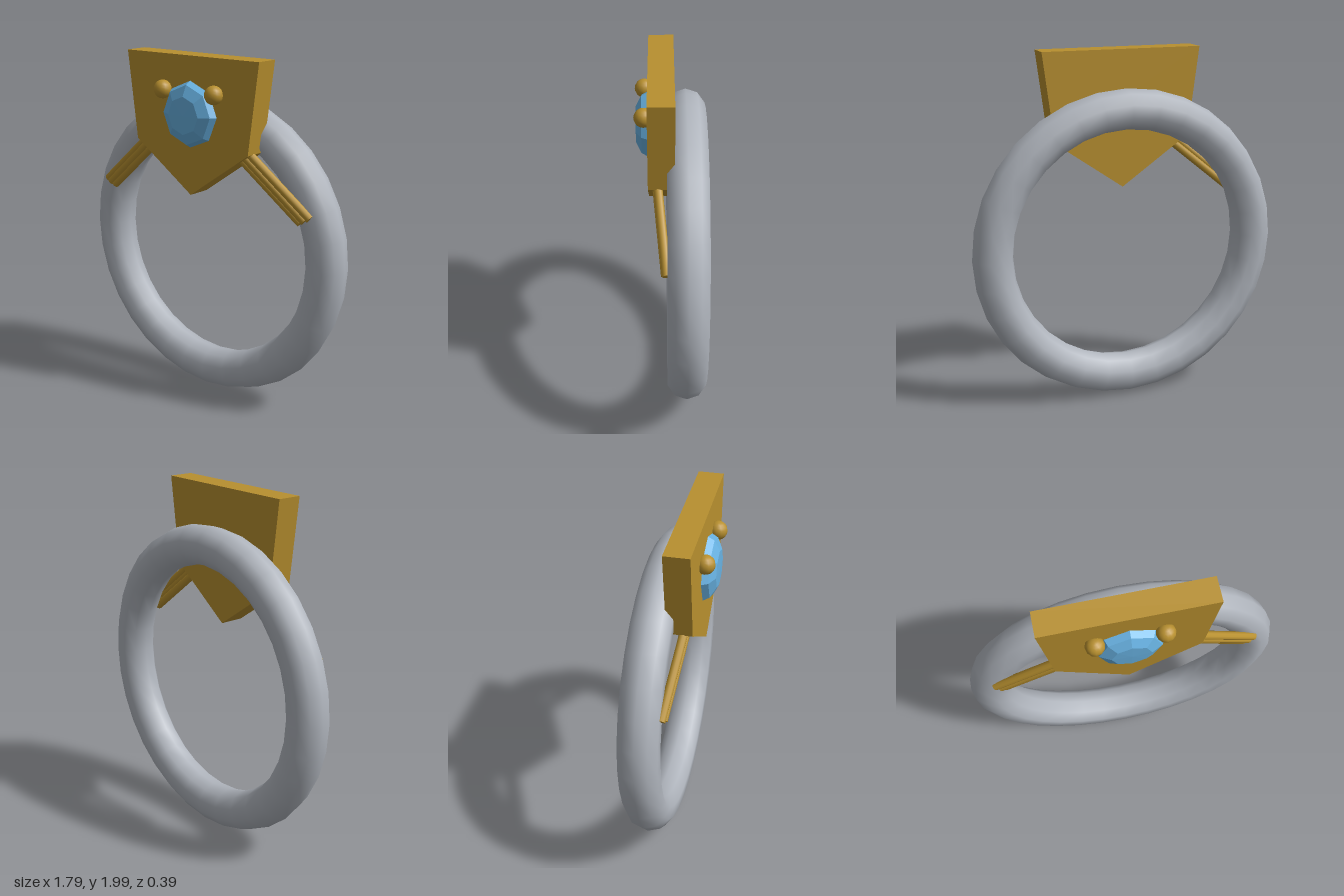
import * as THREE from 'three';

const mat = (name, color, opts = {}) => {
  const m = new THREE.MeshStandardMaterial({ color, ...opts });
  m.name = name;
  return m;
};

export function createModel() {
  const group = new THREE.Group();
  const silver = mat('silver', 0xb0b5bd);
  const gold = mat('gold', 0xb8902f);
  const blue = mat('blue gem', 0x68b2e2, { flatShading: true });

  const add = (name, geometry, material, x = 0, y = 0, z = 0) => {
    const mesh = new THREE.Mesh(geometry, material);
    mesh.name = name;
    mesh.position.set(x, y, z);
    group.add(mesh);
    return mesh;
  };

  // Round band
  add('band', new THREE.TorusGeometry(0.78, 0.114, 10, 32), silver, 0, 0.9, -0.087);

  // Shield-shaped plate
  const outline = [[-0.46, 2], [-0.395, 1.5], [0, 1.225], [0.395, 1.5], [0.46, 2]];
  const shield = new THREE.Shape(outline.map(([x, y]) => new THREE.Vector2(x, y)));
  add('shieldPlate', new THREE.ExtrudeGeometry(shield, { depth: 0.14, bevelEnabled: false }), gold, 0, 0, -0.02);

  // Faceted stone, its crown facing forward
  const profile = [[0, -0.1], [0.15, -0.06], [0.19, 0], [0.165, 0.045], [0.105, 0.075], [0, 0.078]];
  const stone = new THREE.LatheGeometry(profile.map(([r, h]) => new THREE.Vector2(r, h)), 8);
  stone.rotateX(Math.PI / 2);
  add('gem', stone, blue, 0, 1.68, 0.11);

  // A rod between two points
  const rod = (name, a, b, radius) => {
    const dir = b.clone().sub(a);
    const mesh = add(name, new THREE.CylinderGeometry(radius, radius, dir.length(), 10), gold);
    mesh.position.copy(a).add(b).multiplyScalar(0.5);
    mesh.quaternion.setFromUnitVectors(new THREE.Vector3(0, 1, 0), dir.normalize());
  };

  for (const side of [-1, 1]) {
    const label = side > 0 ? 'left' : 'right';
    // Beads holding the stone
    add(label + 'Bead', new THREE.SphereGeometry(0.052, 12, 10), gold, side * 0.18, 1.805, 0.142);
    // Three parallel rods bracing the plate against the band
    for (let i = -1; i <= 1; i++) {
      const dx = -i * 0.028, dy = -i * 0.015, dz = i === 0 ? 0.006 : 0;
      rod(label + 'Brace',
        new THREE.Vector3(side * (0.325 + dx), 1.495 + dy, 0.07 + dz),
        new THREE.Vector3(side * (0.706 + dx), 1.179 + dy, 0.025 + dz), 0.024);
    }
  }
  return group;
}
